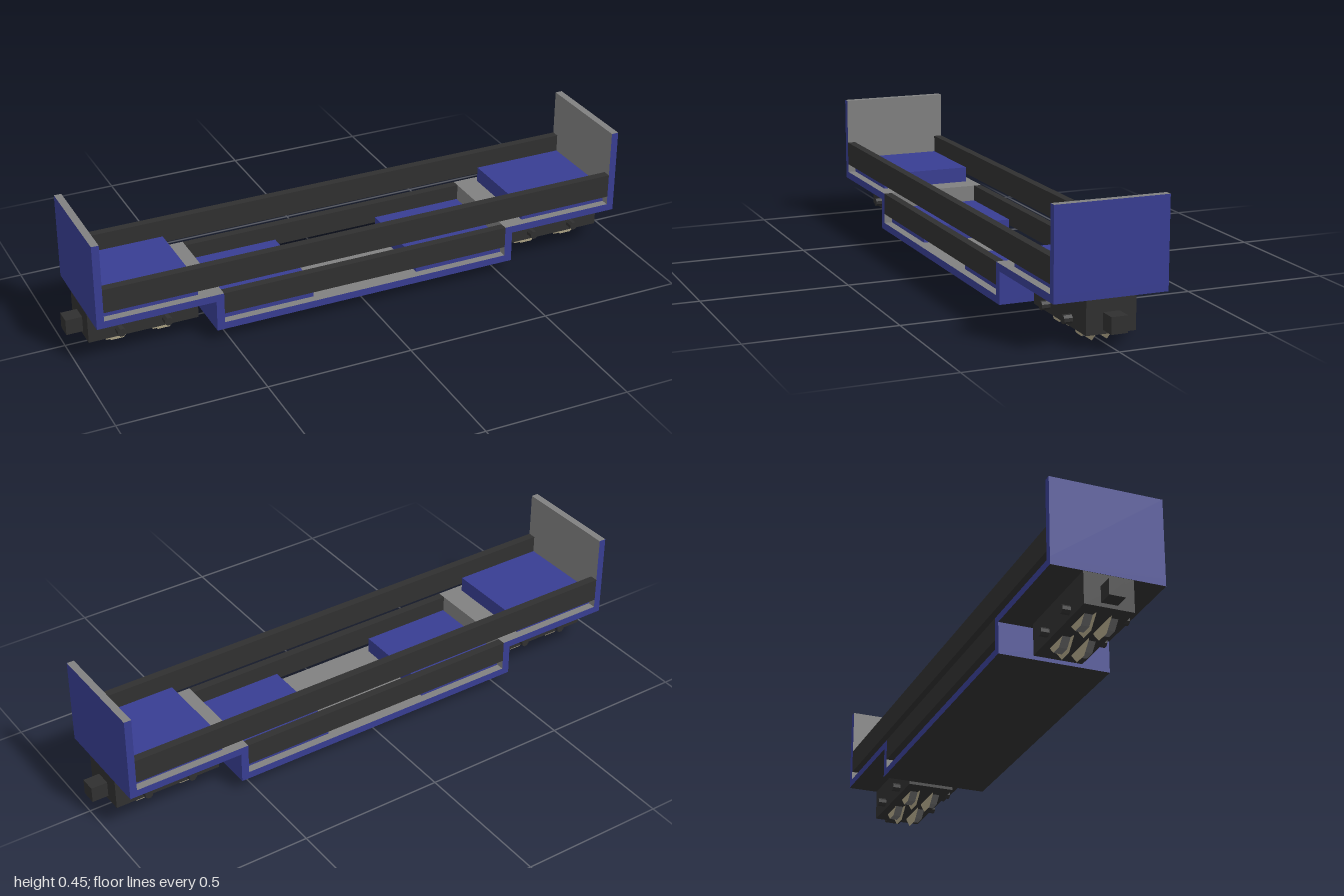
import * as THREE from 'three';

const mat = (name, color) => {
  const m = new THREE.MeshStandardMaterial({ color });
  m.name = name;
  return m;
};

export function createModel() {
  const blue = mat('blue paint', 0x383d92);
  const grey = mat('grey lining', 0x808080);
  const dark = mat('dark metal', 0x303030);
  const tan = mat('wheel face', 0xaaa083);
  const steel = mat('wheel steel', 0x707070);

  // Box from its limits; half is half its depth, centred on z
  const box = (parent, name, x0, x1, y0, y1, half, material, z = 0) => {
    const mesh = new THREE.Mesh(new THREE.BoxGeometry(x1 - x0, y1 - y0, half * 2), material);
    mesh.position.set((x0 + x1) / 2, (y0 + y1) / 2, z);
    mesh.name = name;
    parent.add(mesh);
    return mesh;
  };

  // Eight-sided drum along z with flats at the bottom
  const drum = (parent, name, x, y, z, inner, outer, depth, material) => {
    const k = 1 / Math.cos(Math.PI / 8);
    const geo = new THREE.CylinderGeometry(outer * k, inner * k, depth, 8).toNonIndexed();
    geo.computeVertexNormals();
    geo.rotateY(Math.PI / 8).rotateX(Math.PI / 2);
    const mesh = new THREE.Mesh(geo, material);
    mesh.position.set(x, y, z);
    mesh.name = name;
    parent.add(mesh);
    return mesh;
  };

  const W = 0.188;
  const model = new THREE.Group();
  model.name = 'wellWagon';

  // Sunken floor and the long side rails
  box(model, 'wellFloor', -0.516, 0.516, 0.042, 0.067, W, [blue, blue, grey, dark, blue, blue]);
  for (const s of [1, -1]) {
    box(model, 'upperRail', -0.92, 0.92, 0.205, 0.288, 0.014, dark, s * 0.174);
    box(model, 'lowerRail', -0.516, 0.516, 0.1, 0.175, 0.014, dark, s * 0.174);
  }

  // The two identical ends, one turned around
  for (const turn of [0, Math.PI]) {
    const end = new THREE.Group();
    end.name = turn ? 'rightEnd' : 'leftEnd';
    end.rotation.y = turn;
    model.add(end);

    const lined = [blue, grey, grey, dark, blue, blue];
    box(end, 'wellStep', 0.516, 0.543, 0.042, 0.15, W, lined);
    box(end, 'upperDeck', 0.516, 0.945, 0.15, 0.175, W, lined);
    box(end, 'endWall', 0.92, 0.945, 0.175, 0.447, W, lined);
    box(end, 'upperBlock', 0.595, 0.92, 0.175, 0.228, 0.16, blue);
    box(end, 'lowerBlock', 0.19, 0.514, 0.067, 0.12, 0.16, blue);

    // Bogie with coupler, axle stubs and flanged wheels
    const bogie = new THREE.Group();
    bogie.name = 'bogie';
    end.add(bogie);
    box(bogie, 'bogieFrame', 0.568, 0.944, 0.042, 0.15, 0.082, dark);
    box(bogie, 'coupler', 0.944, 1, 0.055, 0.109, 0.027, dark);
    for (const x of [0.68, 0.84]) {
      for (const s of [1, -1]) {
        drum(bogie, 'axleStub', x, 0.068, s * 0.095, 0.0135, 0.0135, 0.03, dark);
        const wheel = new THREE.Group();
        wheel.name = 'wheel';
        wheel.position.set(x, 0.065, s * 0.04);
        wheel.rotation.y = s > 0 ? 0 : Math.PI;
        bogie.add(wheel);
        drum(wheel, 'tread', 0, 0, 0, 0.05, 0.05, 0.03, [steel, tan, tan]);
        drum(wheel, 'flange', 0, 0, -0.0135, 0.065, 0.05, 0.003, tan);
      }
    }
  }
  return model;
}
